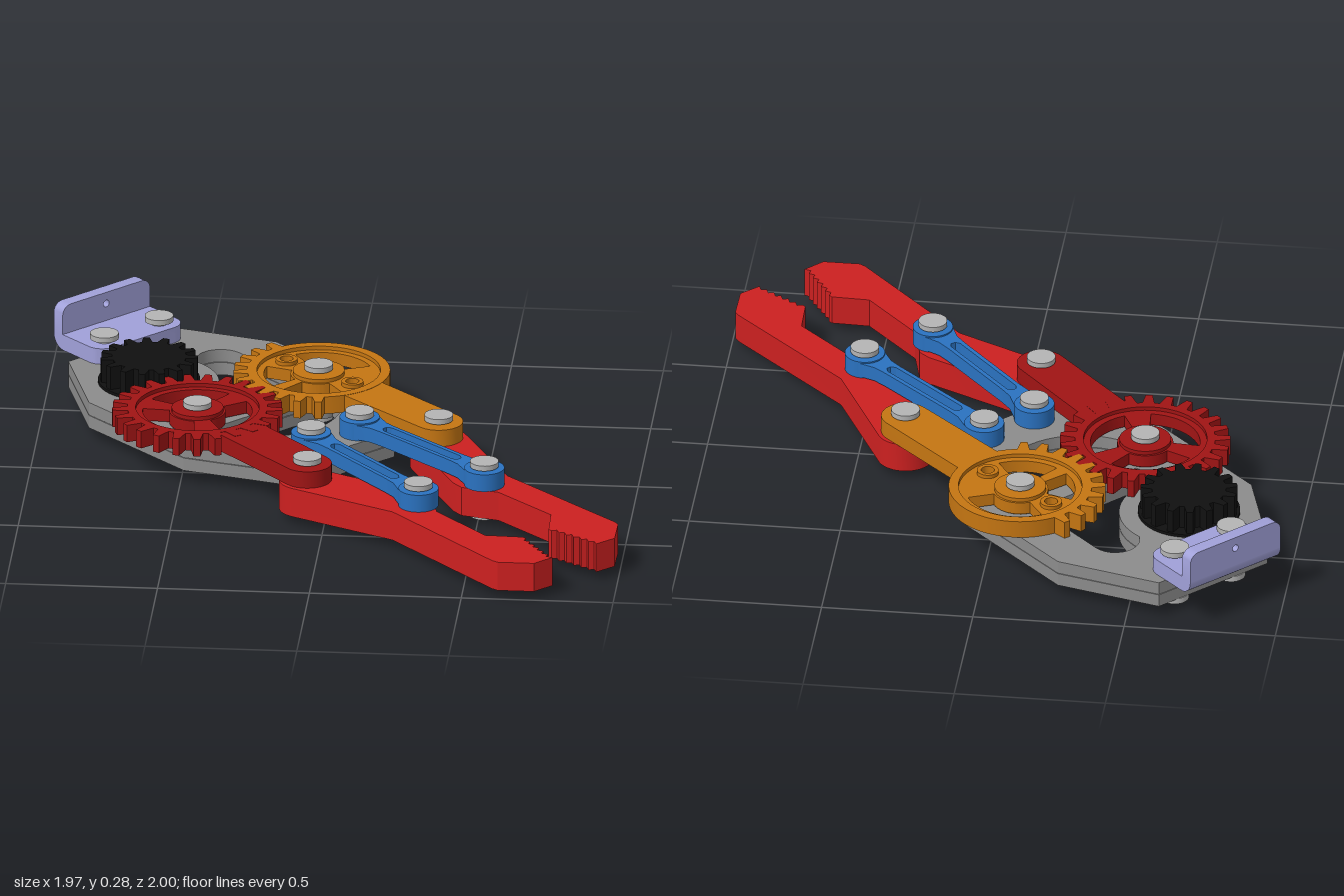
import * as THREE from 'three';
import { toCreasedNormals } from 'three/addons/utils/BufferGeometryUtils.js';

const COLORS = {
  red: 0xcc2020, darkRed: 0xa01414, orange: 0xc47512, blue: 0x2a72c0,
  lavender: 0xa0a0d8, grey: 0x8c8c8c, steel: 0xb4b4b4, black: 0x101010,
};
const materials = Object.fromEntries(
  Object.entries(COLORS).map(([k, color]) => [k, new THREE.MeshStandardMaterial({ color })]));

const RAD = Math.PI / 180;

// Points [x, z] on an arc, angles in degrees measured from +x towards +z
function arc(c, r, from, to, n = 16) {
  return Array.from({ length: n + 1 }, (_, i) => {
    const a = (from + ((to - from) * i) / n) * RAD;
    return [c[0] + r * Math.cos(a), c[1] + r * Math.sin(a)];
  });
}
const circle = (c, r, n = 40) => arc(c, r, 0, 360, n).slice(0, -1);
const swap = (pts) => pts.map(([x, z]) => [z, x]);

function add(group, name, geometry, color) {
  const mesh = new THREE.Mesh(geometry, materials[color]);
  mesh.name = name;
  group.add(mesh);
}

// Flat plate from a plan outline [x, z], between heights y0 and y1
function plate(group, name, outline, y0, y1, color, holes = []) {
  // outline runs anticlockwise and holes clockwise, so every wall faces outwards
  const wind = (pts, clockwise) => {
    const v = pts.map(([x, z]) => new THREE.Vector2(x, -z));
    return THREE.ShapeUtils.isClockWise(v) === clockwise ? v : v.reverse();
  };
  const shape = new THREE.Shape(wind(outline, false));
  shape.holes = holes.map((h) => new THREE.Path(wind(h, true)));
  const geo = new THREE.ExtrudeGeometry(shape, { depth: y1 - y0, bevelEnabled: false });
  geo.rotateX(-Math.PI / 2).translate(0, y0, 0);
  add(group, name, toCreasedNormals(geo, 0.45), color);
}

function disc(group, name, c, r, y0, y1, color) {
  const geo = new THREE.CylinderGeometry(r, r, y1 - y0, 40);
  geo.translate(c[0], (y0 + y1) / 2, c[1]);
  add(group, name, geo, color);
}

// Gear outline; teeth only where hasTooth(angle) holds
function gearOutline(c, root, tip, n, phase, hasTooth = () => true) {
  const pts = [], step = 360 / n;
  for (let i = 0; i < n; i++) {
    const a = phase + i * step;
    const r = hasTooth(((a % 360) + 360) % 360) ? tip : root;
    for (const [f, rad] of [[-0.5, root], [-0.34, root], [-0.16, r], [0.16, r], [0.34, root]])
      pts.push(arc(c, rad, a + f * step, a, 1)[0]);
  }
  return pts;
}

// Gear wheel with raised rim, recessed web with windows, hub and arm to the finger
function gearArm(group, name, c, pin, color, outline, windows, bosses) {
  const g = new THREE.Group();
  g.name = name;
  group.add(g);
  plate(g, 'gearRim', outline, 0.13, 0.19, color, [circle(c, 0.203, 48)]);
  const cuts = windows.map(([a, b]) => [...arc(c, 0.18, a, b), ...arc(c, 0.092, b - 3, a + 3)]);
  const bossHoles = bosses.map((b) => circle(b, 0.022, 20));
  plate(g, 'gearWeb', circle(c, 0.205, 48), 0.135, 0.177, color, [...cuts, ...bossHoles]);
  disc(g, 'gearHub', c, 0.085, 0.13, 0.19, color);
  for (const b of bosses)
    plate(g, 'gearBoss', circle(b, 0.036, 24), 0.134, 0.19, color, [circle(b, 0.022, 20)]);
  const a = Math.atan2(pin[1] - c[1], pin[0] - c[0]) / RAD;
  plate(g, 'arm', [...arc(c, 0.222, a - 22, a + 22, 6), ...arc(pin, 0.08, a + 90, a - 90, 20)],
    0.131, 0.189, color);
}

// Slotted link with round eyes
function link(group, p, q) {
  const g = new THREE.Group();
  g.name = 'link';
  group.add(g);
  const dx = q[0] - p[0], dz = q[1] - p[1], L = Math.hypot(dx, dz);
  const u = [dx / L, dz / L];
  const at = (s, w) => [p[0] + u[0] * s - u[1] * w, p[1] + u[1] * s + u[0] * w];
  const side = [[0.03, 0.058], [0.09, 0.036], [0.14, 0.033],
    [L - 0.14, 0.033], [L - 0.09, 0.036], [L - 0.03, 0.058]];
  const mirror = (pts) => [...pts.map(([s, w]) => at(s, w)),
    ...pts.slice().reverse().map(([s, w]) => at(s, -w))];
  const slot = mirror([[0.12, 0.008], [0.135, 0.018], [L - 0.135, 0.018], [L - 0.12, 0.008]]);
  plate(g, 'linkBar', mirror(side), 0.135, 0.185, 'blue', [slot]);
  for (const e of [p, q]) disc(g, 'linkEye', e, 0.066, 0.13, 0.19, 'blue');
}

function fingerOutline() {
  const pts = [...arc([-0.061, 0.339], 0.094, -60, -240, 18),
    [0.24, 0.595], [0.6, 0.985], [0.62, 0.998], [0.74, 0.998]];
  // gripping teeth
  const n = 6;
  for (let i = 0; i <= n; i++) {
    const x = 0.795 - 0.1 * (i / n), z = 0.942 - 0.157 * (i / n);
    pts.push([x, z]);
    if (i < n) pts.push([x - 0.022, z - 0.008]);
  }
  pts.push([0.685, 0.775], [0.56, 0.77], [0.385, 0.58], [0.355, 0.455], [0.32, 0.425]);
  return pts;
}

export function createModel() {
  const model = new THREE.Group();
  model.name = 'gripper';

  const gearA = [-0.46, -0.106], gearB = [-0.09, -0.458], motor = [-0.648, -0.457];
  const pinA = [-0.061, 0.339], pinB = [0.339, -0.053];
  const linkA = [[-0.071, 0.074], [0.32, 0.526]], linkB = [[0.077, -0.069], [0.521, 0.333]];

  // Two-layer base with a half-round opening in front of the gear bar and a curved one behind
  const half = [[-0.606, -0.926], [-0.26, -0.83], [0.08, -0.49], [0.19, -0.095]];
  const outline = [...half, ...swap(half).reverse()];
  const frontOpening = arc([-0.27, -0.28], 0.27, -35, 125, 24);
  const rearOpening = [...arc([-0.43, -0.67], 0.08, 180, 315, 10),
    [-0.15, -0.5], [-0.44, -0.2], [-0.475, -0.215], ...arc(motor, 0.23, 52, -52, 16)];
  for (const [name, y0, y1] of [['lowerBase', 0.04, 0.084], ['upperBase', 0.086, 0.13]])
    plate(model, name, outline, y0, y1, 'grey', [frontOpening, rearOpening]);

  // Motor with pinion
  disc(model, 'motorBody', motor, 0.168, 0.01, 0.14, 'black');
  disc(model, 'motorCap', motor, 0.155, 0, 0.02, 'black');
  plate(model, 'pinion', gearOutline(motor, 0.122, 0.16, 15, 70), 0.13, 0.22, 'black');

  // Driven gears and arms
  gearArm(model, 'redGearArm', gearA, pinA, 'darkRed',
    gearOutline(gearA, 0.23, 0.28, 25, -44),
    [[89, 181], [209, 301], [329, 421]], []);
  gearArm(model, 'orangeGearArm', gearB, pinB, 'orange',
    gearOutline(gearB, 0.235, 0.28, 25, 136 + 7.2, (a) => a > 75 && a < 236),
    [[-120, -25], [60, 125], [140, 195]],
    [[-0.203, -0.546], [0.028, -0.371]]);

  // Fingers; the left one is turned in slightly about its pin
  const finger = fingerOutline();
  const turn = 0.016;
  const leftFinger = swap(finger).map(([x, z]) =>
    [x - turn * (z - pinB[1]), z + 0.01 + turn * (x - pinB[0])]);
  plate(model, 'leftFinger', leftFinger, 0.03, 0.13, 'red');
  plate(model, 'rightFinger', finger, 0.03, 0.13, 'red');

  link(model, ...linkA);
  link(model, ...linkB);

  // Angle bracket at the rear
  const bracket = new THREE.Group();
  bracket.name = 'bracket';
  bracket.position.set(-0.852, 0, -0.866);
  bracket.rotation.y = Math.PI / 4;
  model.add(bracket);
  const w = 0.188, r = 0.035, depth = 0.235, corner = 0.055;
  plate(bracket, 'bracketFlange', [[-w, 0.05], [w, 0.05],
    ...arc([w - corner, depth - corner], corner, 0, 90, 8),
    ...arc([corner - w, depth - corner], corner, 90, 180, 8)], 0.13, 0.185, 'lavender');
  const wall = new THREE.Shape([[-w, 0.18], [w, 0.18],
    ...arc([w - r, 0.285 - r], r, 0, 90, 6), ...arc([r - w, 0.285 - r], r, 90, 180, 6)]
    .map(([x, y]) => new THREE.Vector2(x, y)));
  wall.holes.push(new THREE.Path().absarc(0, 0.245, 0.012, 0, Math.PI * 2, true));
  add(bracket, 'bracketWall', toCreasedNormals(
    new THREE.ExtrudeGeometry(wall, { depth: 0.045, bevelEnabled: false }), 0.45), 'lavender');
  const bend = new THREE.Shape([...arc([0.05, 0.18], 0.05, 180, 270, 8), [0.05, 0.185], [0, 0.185]]
    .map(([z, y]) => new THREE.Vector2(-z, y)));
  const bendGeo = new THREE.ExtrudeGeometry(bend, { depth: 2 * w, bevelEnabled: false });
  bendGeo.rotateY(Math.PI / 2).translate(-w, 0, 0);
  add(bracket, 'bracketBend', toCreasedNormals(bendGeo, 0.45), 'lavender');

  // Pins with a head at each end
  const bracketPins = [[-0.646, -0.826], [-0.812, -0.661]];
  for (const p of [gearA, gearB, pinA, pinB, ...linkA, ...linkB, ...bracketPins]) {
    const g = new THREE.Group();
    g.name = 'pin';
    model.add(g);
    disc(g, 'pinShaft', p, 0.028, 0.03, 0.2, 'steel');
    disc(g, 'pinTopHead', p, 0.047, 0.195, 0.213, 'steel');
    disc(g, 'pinBottomHead', p, 0.047, 0.021, 0.041, 'steel');
  }
  // Bosses around the gear axles, on the bar
  for (const p of [gearA, gearB]) disc(model, 'axleBoss', p, 0.06, 0.039, 0.131, 'grey');

  return model;
}
